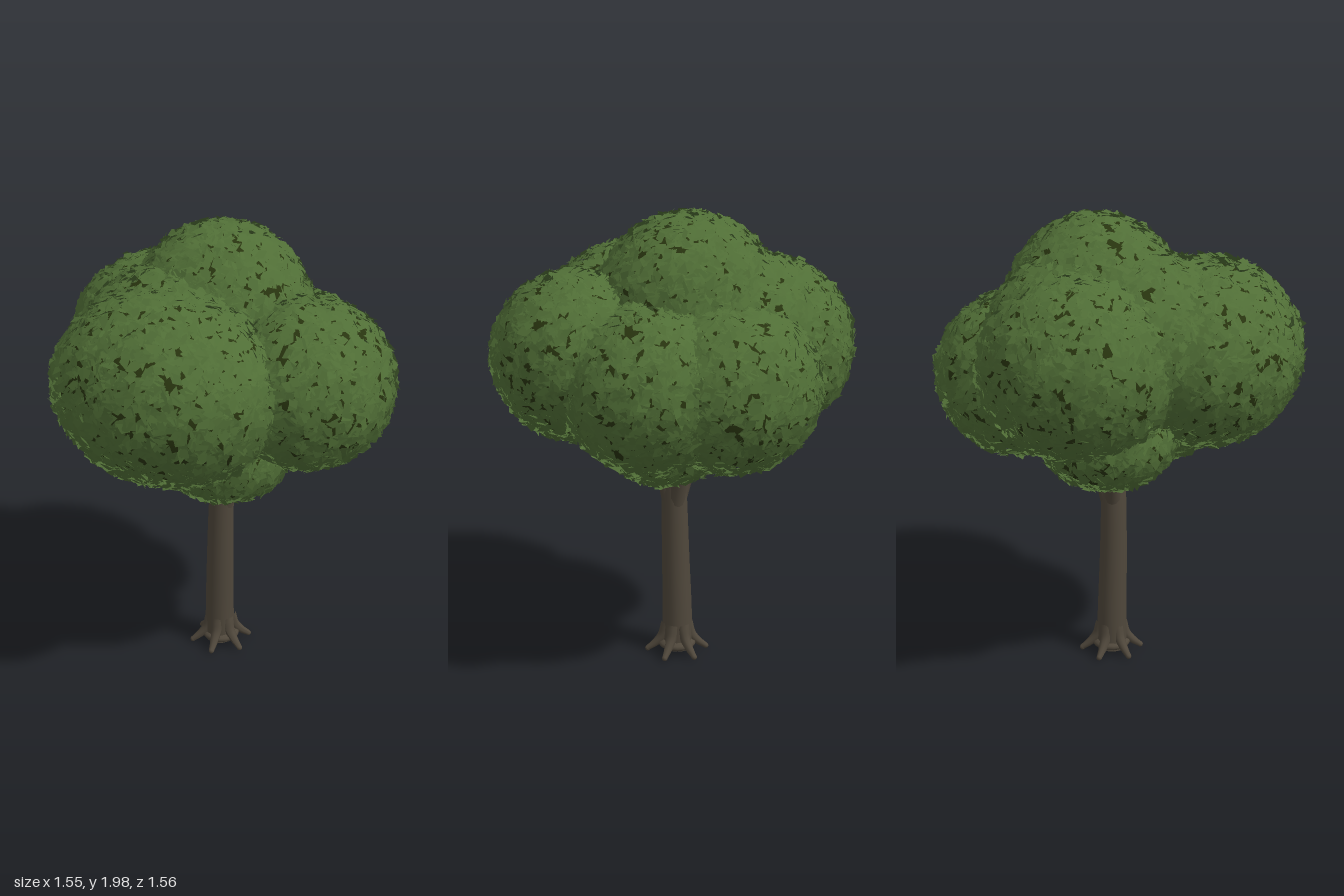
import * as THREE from 'three';

const bark = new THREE.MeshStandardMaterial({ color: 0x4f473b });
const leafGreen = new THREE.MeshStandardMaterial({ color: 0x506e36, side: THREE.DoubleSide });
const shadeGreen = new THREE.MeshStandardMaterial({ color: 0x28340f });
bark.name = 'bark';
leafGreen.name = 'leafGreen';
shadeGreen.name = 'shadeGreen';

// Foliage lobes: centre, radii
const LOBES = [
  { name: 'crownTop', c: [-0.055, 1.575, -0.105], r: [0.38, 0.39, 0.37] },
  { name: 'crownLeftSide', c: [0.41, 1.4, -0.04], r: [0.34, 0.34, 0.36] },
  { name: 'crownRightSide', c: [-0.38, 1.41, -0.12], r: [0.375, 0.365, 0.4] },
  { name: 'crownFront', c: [-0.02, 1.41, 0.34], r: [0.48, 0.38, 0.4] },
  { name: 'crownBack', c: [-0.12, 1.31, -0.41], r: [0.37, 0.34, 0.35] },
  { name: 'crownBackLeft', c: [0.18, 1.31, -0.31], r: [0.36, 0.34, 0.37] },
  { name: 'crownLowFront', c: [0.12, 1.11, 0.13], r: [0.27, 0.22, 0.27] },
  { name: 'crownLowRight', c: [-0.28, 1.11, -0.02], r: [0.28, 0.22, 0.28] },
  { name: 'crownLowBack', c: [0.1, 1.11, -0.25], r: [0.27, 0.22, 0.27] },
  { name: 'crownMiddleBack', c: [-0.2, 1.46, -0.17], r: [0.42, 0.365, 0.37] },
  { name: 'crownMiddleFront', c: [-0.12, 1.46, 0.11], r: [0.43, 0.365, 0.41] },
].map((l) => ({ name: l.name, c: new THREE.Vector3(...l.c), r: new THREE.Vector3(...l.r) }));

function seeded(seed) {
  return () => {
    seed = (seed * 1664525 + 1013904223) % 4294967296;
    return seed / 4294967296;
  };
}

const insideLobe = (p, l, k) => p.clone().sub(l.c).divide(l.r).length() < k;

// Tube along points, its radius running from r0 to r1
function taperedLimb(name, points, r0, r1, ease = 1, segs = 12, sides = 12) {
  const curve = new THREE.CatmullRomCurve3(points.map((p) => new THREE.Vector3(...p)));
  const geo = new THREE.TubeGeometry(curve, segs, 1, sides, false);
  const pos = geo.attributes.position;
  const p = new THREE.Vector3();
  for (let i = 0; i < pos.count; i++) {
    const t = Math.floor(i / (sides + 1)) / segs;
    const centre = curve.getPointAt(t);
    const radius = r0 + (r1 - r0) * Math.pow(t, ease);
    p.fromBufferAttribute(pos, i).sub(centre).multiplyScalar(radius).add(centre);
    pos.setXYZ(i, p.x, p.y, p.z);
  }
  geo.computeVertexNormals();
  const mesh = new THREE.Mesh(geo, bark);
  mesh.name = name;
  return mesh;
}

// Overlapping folded leaves spread evenly over one lobe
function leafShell(lobe, rand) {
  const positions = [], normals = [], index = [];
  const area = 4 * Math.PI * Math.pow((lobe.r.x + lobe.r.y + lobe.r.z) / 3, 2);
  const count = Math.round(area * 2100);
  const others = LOBES.filter((l) => l !== lobe);
  const up = new THREE.Vector3(0, 1, 0);
  for (let i = 0; i < count; i++) {
    const y = 1 - (2 * (i + rand())) / count;
    const a = rand() * Math.PI * 2;
    const s = Math.sqrt(1 - y * y);
    const dir = new THREE.Vector3(Math.cos(a) * s, y, Math.sin(a) * s);
    const p = dir.clone().multiply(lobe.r).multiplyScalar(0.98 + rand() * 0.05).add(lobe.c);
    if (others.some((l) => insideLobe(p, l, 0.92))) continue;

    // Leaf frame: face outward, u along the leaf, v across it
    const n = dir.clone().divide(lobe.r).normalize();
    const tilt = new THREE.Vector3(rand() - 0.5, rand() - 0.5, rand() - 0.5);
    const face = n.clone().addScaledVector(tilt, 1.1).normalize();
    const u = new THREE.Vector3().crossVectors(up, face).normalize();
    u.applyAxisAngle(face, rand() * Math.PI * 2);
    const v = new THREE.Vector3().crossVectors(face, u);
    const len = 0.027 + rand() * 0.012, wid = 0.018 + rand() * 0.006;
    const b = positions.length / 3;
    const m = n.clone().lerp(face, 0.35).normalize();
    for (const [du, dv, dn] of [[-len, 0, 0], [-0.2 * len, -wid, 0.003], [len, 0, 0], [-0.2 * len, wid, 0.003]]) {
      const q = p.clone().addScaledVector(u, du).addScaledVector(v, dv).addScaledVector(face, dn);
      positions.push(q.x, q.y, q.z);
      normals.push(m.x, m.y, m.z);
    }
    index.push(b, b + 1, b + 2, b, b + 2, b + 3);
  }
  const geo = new THREE.BufferGeometry();
  geo.setAttribute('position', new THREE.Float32BufferAttribute(positions, 3));
  geo.setAttribute('normal', new THREE.Float32BufferAttribute(normals, 3));
  geo.setIndex(index);
  return geo;
}

export function createModel() {
  const tree = new THREE.Group();
  tree.name = 'tree';

  // Trunk with a gentle lean
  const trunk = new THREE.Group();
  trunk.name = 'trunk';
  trunk.add(taperedLimb('trunkStem', [
    [-0.03, 0.02, -0.05], [-0.03, 0.2, -0.048], [-0.024, 0.45, -0.043],
    [-0.018, 0.7, -0.042], [-0.012, 0.85, -0.045], [0, 1.2, -0.05],
  ], 0.068, 0.048, 1, 24, 16));
  const base = new THREE.Mesh(new THREE.SphereGeometry(0.085, 20, 10), bark);
  base.name = 'trunkBase';
  base.scale.y = 0.35;
  base.position.set(-0.027, 0.042, -0.052);
  trunk.add(base);
  tree.add(trunk);

  // Roots flaring around the base
  const roots = new THREE.Group();
  roots.name = 'roots';
  const rootCount = 6;
  for (let i = 0; i < rootCount; i++) {
    const a = (i / rootCount) * Math.PI * 2 + 0.25;
    const at = (d, y) => [-0.027 + Math.cos(a) * d, y, -0.052 + Math.sin(a) * d];
    roots.add(taperedLimb('root', [at(0.04, 0.135), at(0.062, 0.078), at(0.095, 0.042), at(0.132, 0.015)], 0.031, 0.012, 1.1, 10, 10));
    const tip = new THREE.Mesh(new THREE.SphereGeometry(0.0125, 10, 8), bark);
    tip.name = 'rootTip';
    tip.position.set(...at(0.131, 0.015));
    roots.add(tip);
  }
  tree.add(roots);

  // Branches rising into the crown
  const branches = new THREE.Group();
  branches.name = 'branches';
  for (const [x, z, y0] of [[-0.28, -0.02, 0.68], [0.16, -0.02, 0.66], [-0.04, -0.26, 0.66], [-0.02, 0.12, 0.74], [-0.18, -0.18, 0.74]]) {
    const cx = -0.016, cz = -0.043;
    const at = (k, y) => [cx + (x - cx) * k, y, cz + (z - cz) * k];
    branches.add(taperedLimb('branch', [at(0.03, y0), at(0.13, y0 + 0.09), at(0.38, 0.93), at(0.95, 1.3)], 0.04, 0.022));
  }
  tree.add(branches);

  // Crown: dark inner mass under a shell of leaves for each lobe
  const crown = new THREE.Group();
  crown.name = 'crown';
  const rand = seeded(7);
  for (const lobe of LOBES) {
    const core = new THREE.Mesh(new THREE.SphereGeometry(0.95, 32, 20), shadeGreen);
    core.name = lobe.name + 'Core';
    core.position.copy(lobe.c);
    core.scale.copy(lobe.r);
    const leaves = new THREE.Mesh(leafShell(lobe, rand), leafGreen);
    leaves.name = lobe.name + 'Leaves';
    crown.add(core, leaves);
  }
  tree.add(crown);
  return tree;
}
